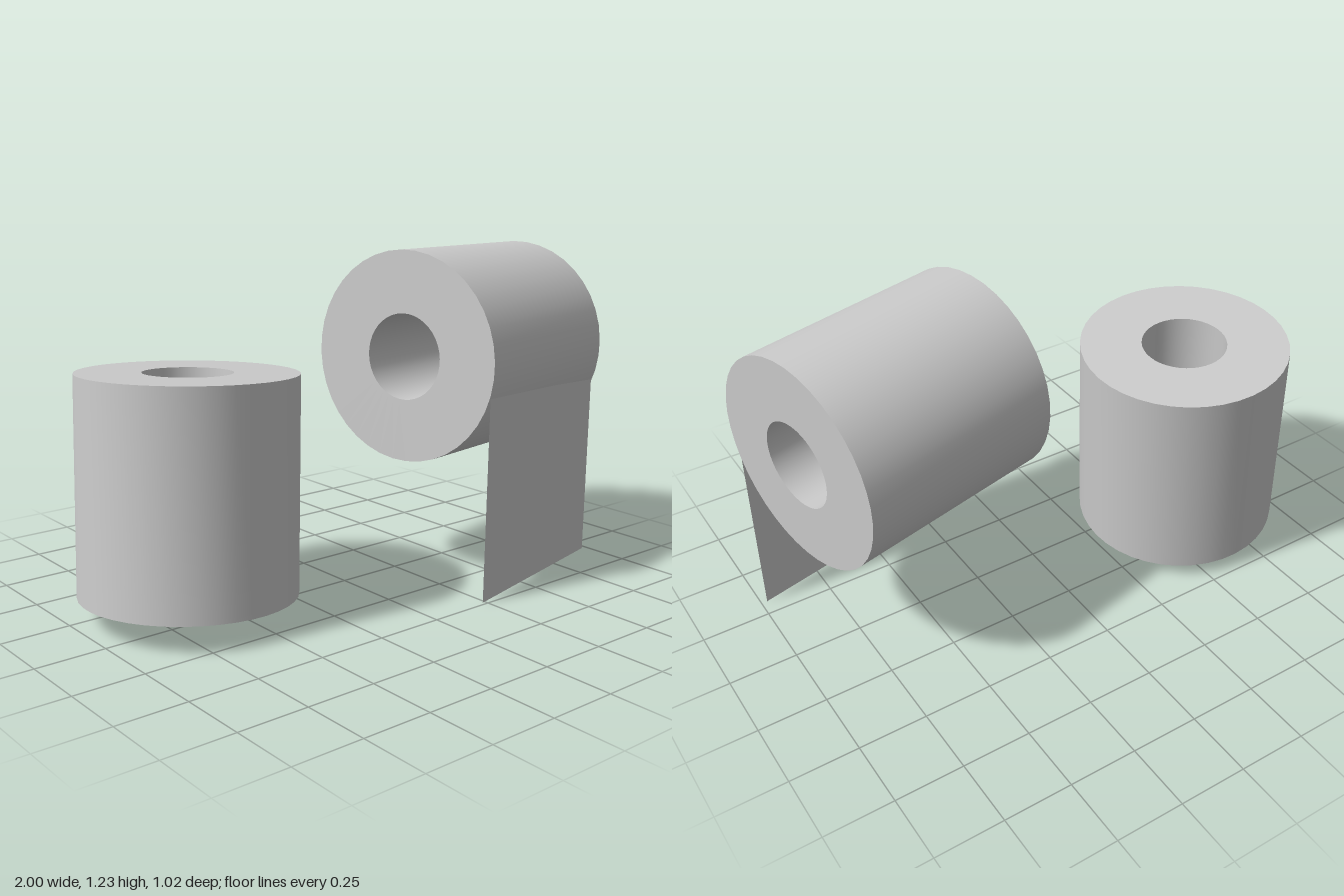
import * as THREE from 'three';
import { toCreasedNormals } from 'three/addons/utils/BufferGeometryUtils.js';

const OUTER = 0.382, HOLE = 0.156;

// Hollow paper roll running between the centres of its two ends
function makeRoll(name, from, to) {
  const axis = to.clone().sub(from);
  const h = axis.length() / 2;
  const profile = [[HOLE, -h], [OUTER, -h], [OUTER, h], [HOLE, h], [HOLE, -h]]
    .map(([r, y]) => new THREE.Vector2(r, y));
  const geometry = toCreasedNormals(new THREE.LatheGeometry(profile, 40), 0.6);
  const roll = new THREE.Mesh(geometry, new THREE.MeshStandardMaterial({ color: 0xcccccc }));
  roll.name = name;
  roll.position.copy(from).add(to).multiplyScalar(0.5);
  roll.quaternion.setFromUnitVectors(new THREE.Vector3(0, 1, 0), axis.normalize());
  return roll;
}

// Flat sheet through four corners: bottom left, bottom right, top right, top left
function makeSheet(name, corners) {
  const geometry = new THREE.BufferGeometry();
  geometry.setAttribute('position', new THREE.Float32BufferAttribute(corners.flat(), 3));
  geometry.setIndex([0, 1, 2, 0, 2, 3]);
  geometry.computeVertexNormals();
  const sheet = new THREE.Mesh(geometry,
    new THREE.MeshStandardMaterial({ color: 0xcccccc, side: THREE.DoubleSide }));
  sheet.name = name;
  return sheet;
}

export function createModel() {
  const model = new THREE.Group();
  model.name = 'paperRolls';

  // Upright roll, leaning slightly
  model.add(makeRoll('standingRoll',
    new THREE.Vector3(-0.62, 0.075, -0.094), new THREE.Vector3(-0.577, 0.841, -0.13)));

  // Roll on its side, turned a little
  model.add(makeRoll('hangingRoll',
    new THREE.Vector3(0.166, 0.847, 0.132), new THREE.Vector3(0.916, 0.828, -0.031)));

  // Loose end hanging from the front of the side roll
  model.add(makeSheet('hangingSheet', [
    [0.237, 0, 0.487], [0.978, 0, 0.315], [0.983, 0.7, 0.319], [0.242, 0.74, 0.494],
  ]));

  return model;
}
